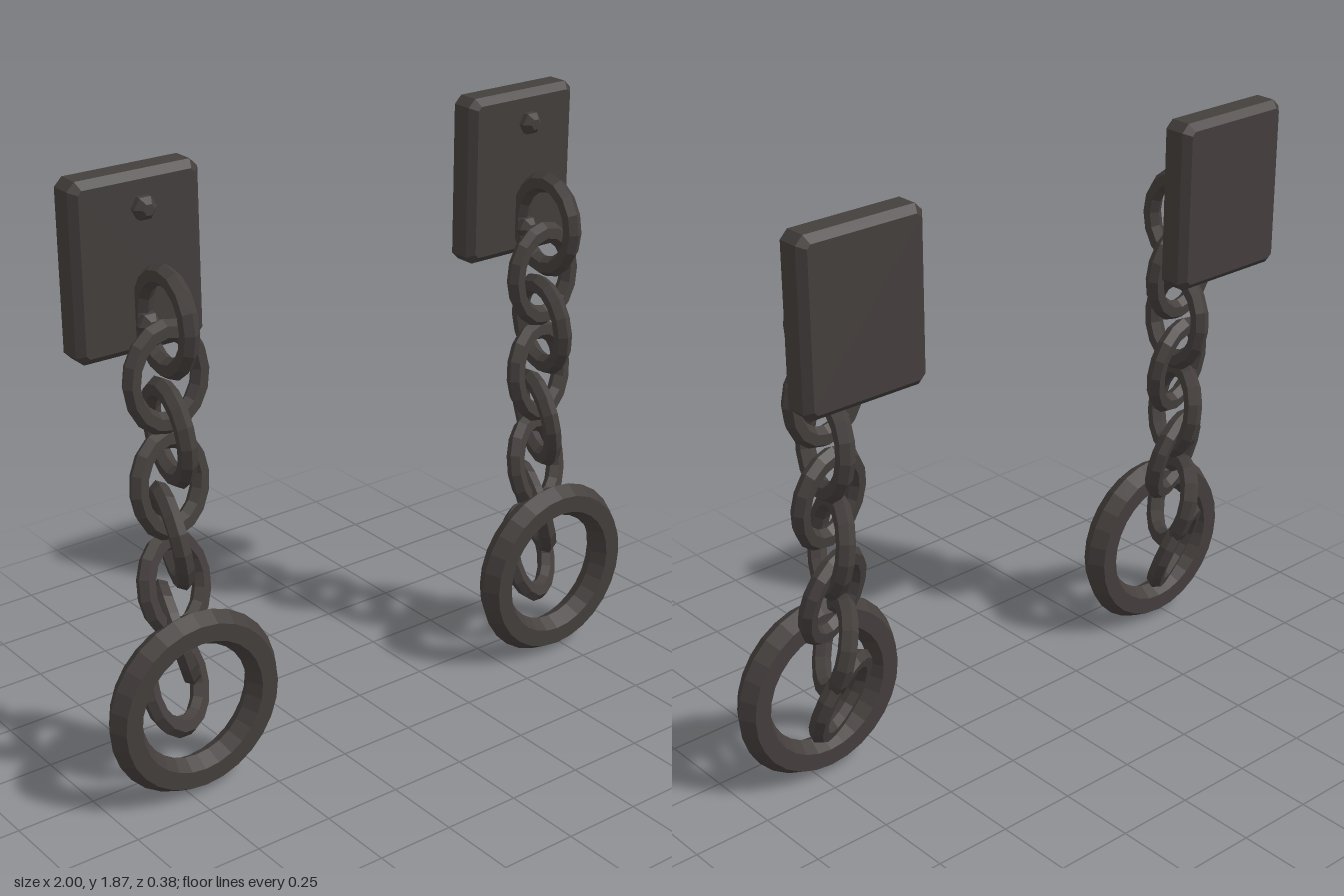
import * as THREE from 'three';

const iron = new THREE.MeshStandardMaterial({ color: 0x443f3d });
iron.name = 'dark iron';

// Gives every face its own normal
function faceted(geometry) {
  const flat = geometry.index ? geometry.toNonIndexed() : geometry;
  flat.computeVertexNormals();
  return flat;
}

function part(name, geometry, parent, x, y, z) {
  const mesh = new THREE.Mesh(geometry, iron);
  mesh.name = name;
  mesh.position.set(x, y, z);
  parent.add(mesh);
  return mesh;
}

// Slab with chamfered corners and edges, centred on the origin
function slabGeometry(w, h, d, bevel) {
  const x = w / 2 - bevel, y = h / 2 - bevel, c = 0.012;
  const shape = new THREE.Shape([
    [-x + c, -y], [x - c, -y], [x, -y + c], [x, y - c],
    [x - c, y], [-x + c, y], [-x, y - c], [-x, -y + c],
  ].map(([a, b]) => new THREE.Vector2(a, b)));
  const g = new THREE.ExtrudeGeometry(shape, {
    depth: d - 2 * bevel, bevelEnabled: true, bevelSegments: 1,
    bevelSize: bevel, bevelThickness: bevel,
  });
  return faceted(g.translate(0, 0, bevel - d / 2));
}

// Six-sided stud pointing forward
function studGeometry() {
  const profile = [[0, 0], [0.037, 0], [0.037, 0.018], [0.018, 0.038], [0, 0.038]]
    .map(([r, y]) => new THREE.Vector2(r, y));
  return faceted(new THREE.LatheGeometry(profile, 6).rotateY(Math.PI / 2).rotateX(Math.PI / 2));
}

// Chain links from the top: x, y, z, then pitch, yaw and roll in degrees
const LINKS = [
  [0, 1.464, 0.04, 0, 90, 0],
  [0, 1.297, 0.03, -3, 4, 0],
  [0, 1.129, 0.035, -1, 82, 5],
  [0, 0.969, 0.027, -7, 11, 1],
  [-0.008, 0.808, 0.037, -3, 72, 9],
  [0, 0.645, 0.03, -13, 17, 3],
  [0.008, 0.478, 0.018, -8, 65, 13],
  [0, 0.306, 0.01, -19, 23, 6],
];

export function createModel() {
  const model = new THREE.Group();
  model.name = 'wallShackles';

  const plate = slabGeometry(0.42, 0.53, 0.11, 0.022);
  const stud = studGeometry();
  const link = faceted(new THREE.TorusGeometry(0.119, 0.029, 6, 16).scale(1, 1.15, 1));
  const ring = faceted(new THREE.TorusGeometry(0.239, 0.055, 6, 28));
  const rad = THREE.MathUtils.degToRad;

  // Two identical hanging chains
  for (const [side, x] of [['right', -0.706], ['left', 0.706]]) {
    const shackle = new THREE.Group();
    shackle.name = side + 'Shackle';
    shackle.position.x = x;
    model.add(shackle);

    part('wallPlate', plate, shackle, 0, 1.6, -0.132);
    part('upperStud', stud, shackle, 0, 1.77, -0.059);
    part('lowerStud', stud, shackle, 0, 1.43, -0.059);

    const chain = new THREE.Group();
    chain.name = 'chain';
    shackle.add(chain);
    LINKS.forEach(([lx, ly, lz, pitch, yaw, roll], i) => {
      const mesh = part('chainLink' + (i + 1), link, chain, lx, ly, lz);
      mesh.rotation.set(rad(pitch), rad(yaw), rad(roll), 'XZY');
    });

    part('handRing', ring, shackle, 0, 0.294, 0.12);
  }
  return model;
}
